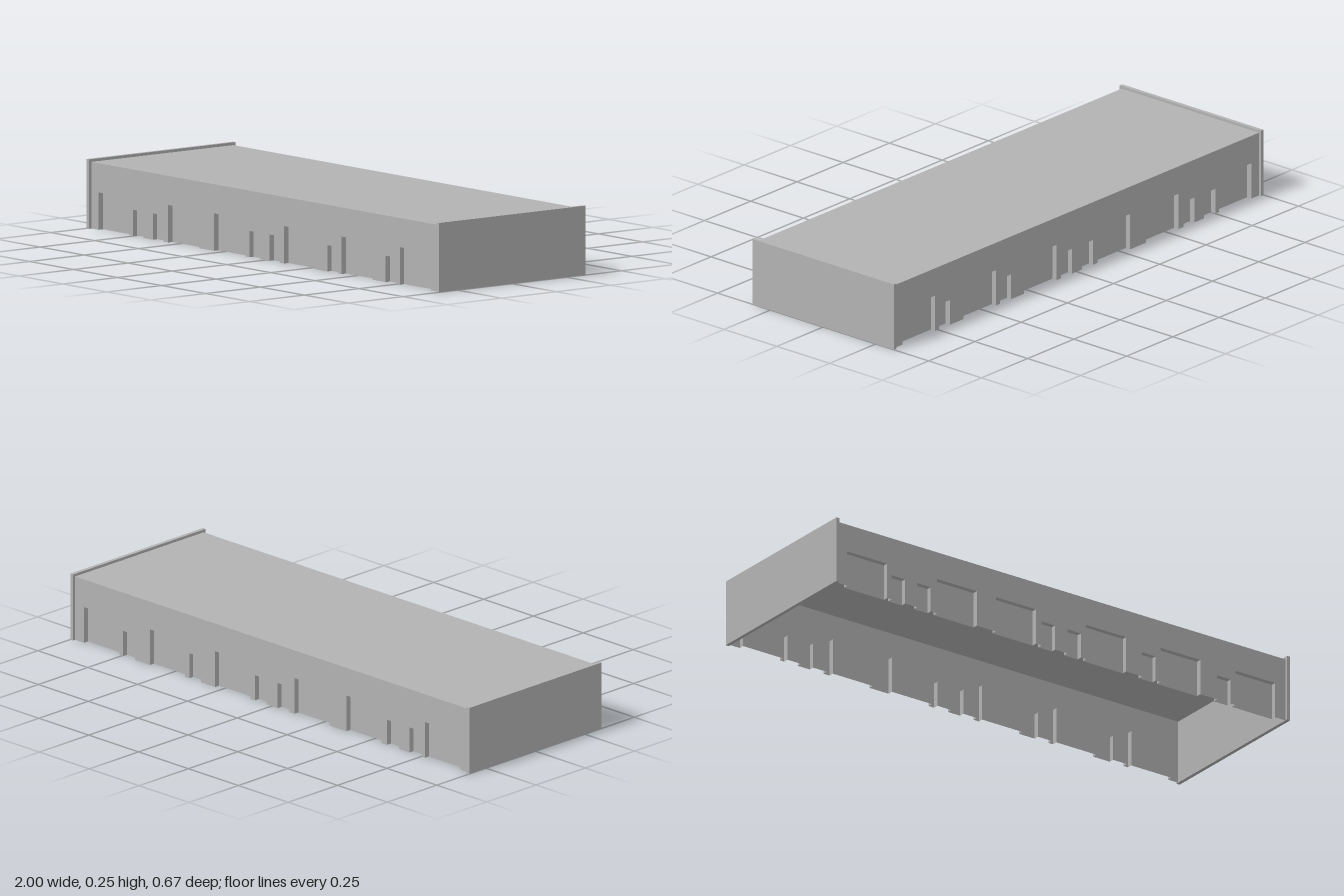
import * as THREE from 'three';

const grey = new THREE.MeshStandardMaterial({ color: 0xb2b2b2, side: THREE.DoubleSide });
grey.name = 'concrete grey';

const HEIGHT = 0.24, WALL_Z = 0.325, END_T = 0.014, END_X = 1 - END_T;

// doorways: [left x, right x, height, recess depth]
const gates = [-0.945, -0.55, -0.29, 0.108, 0.435, 0.765].map(x => [x, x + 0.176, 0.135, 0.02]);
const doors = [-0.75, -0.637, -0.089, 0.025, 0.354, 0.685].map(x => [x, x + 0.06, 0.095, 0.02]);
const openings = [...gates, ...doors].sort((a, b) => a[0] - b[0]);

function add(group, name, geometry, x = 0, y = 0, z = 0) {
  const mesh = new THREE.Mesh(geometry, grey);
  mesh.name = name;
  mesh.position.set(x, y, z);
  group.add(mesh);
  return mesh;
}

// a long thin wall with notched openings and recessed door panels
function longWall(name) {
  const group = new THREE.Group();
  group.name = name;

  const outline = new THREE.Shape();
  outline.moveTo(-END_X, 0);
  for (const [l, r, h] of openings) {
    outline.lineTo(l, 0);
    outline.lineTo(l, h);
    outline.lineTo(r, h);
    outline.lineTo(r, 0);
  }
  outline.lineTo(END_X, 0);
  outline.lineTo(END_X, HEIGHT);
  outline.lineTo(-END_X, HEIGHT);
  add(group, 'wallFace', new THREE.ShapeGeometry(outline), 0, 0, WALL_Z);

  for (const [l, r, h, d] of openings) {
    const mid = (l + r) / 2, z = WALL_Z - d / 2;
    add(group, 'doorPanel', new THREE.PlaneGeometry(r - l, h), mid, h / 2, WALL_Z - d);
    add(group, 'doorHead', new THREE.PlaneGeometry(r - l, d).rotateX(Math.PI / 2), mid, h, z);
    add(group, 'leftJamb', new THREE.PlaneGeometry(d, h).rotateY(Math.PI / 2), l, h / 2, z);
    add(group, 'rightJamb', new THREE.PlaneGeometry(d, h).rotateY(-Math.PI / 2), r, h / 2, z);
  }
  return group;
}

export function createModel() {
  const model = new THREE.Group();
  model.name = 'building';

  // front wall and its mirror image at the back
  model.add(longWall('frontWall'));
  const back = longWall('backWall');
  back.scale.z = -1;
  model.add(back);

  // flat roof sheet, open underneath
  add(model, 'roof', new THREE.PlaneGeometry(END_X * 2, WALL_Z * 2).rotateX(-Math.PI / 2), 0, HEIGHT, 0);

  // end walls standing slightly proud of roof and walls
  for (const s of [-1, 1]) {
    add(model, 'endWall', new THREE.BoxGeometry(END_T, 0.25, 0.67), s * (1 - END_T / 2), 0.125, 0);
  }
  return model;
}
